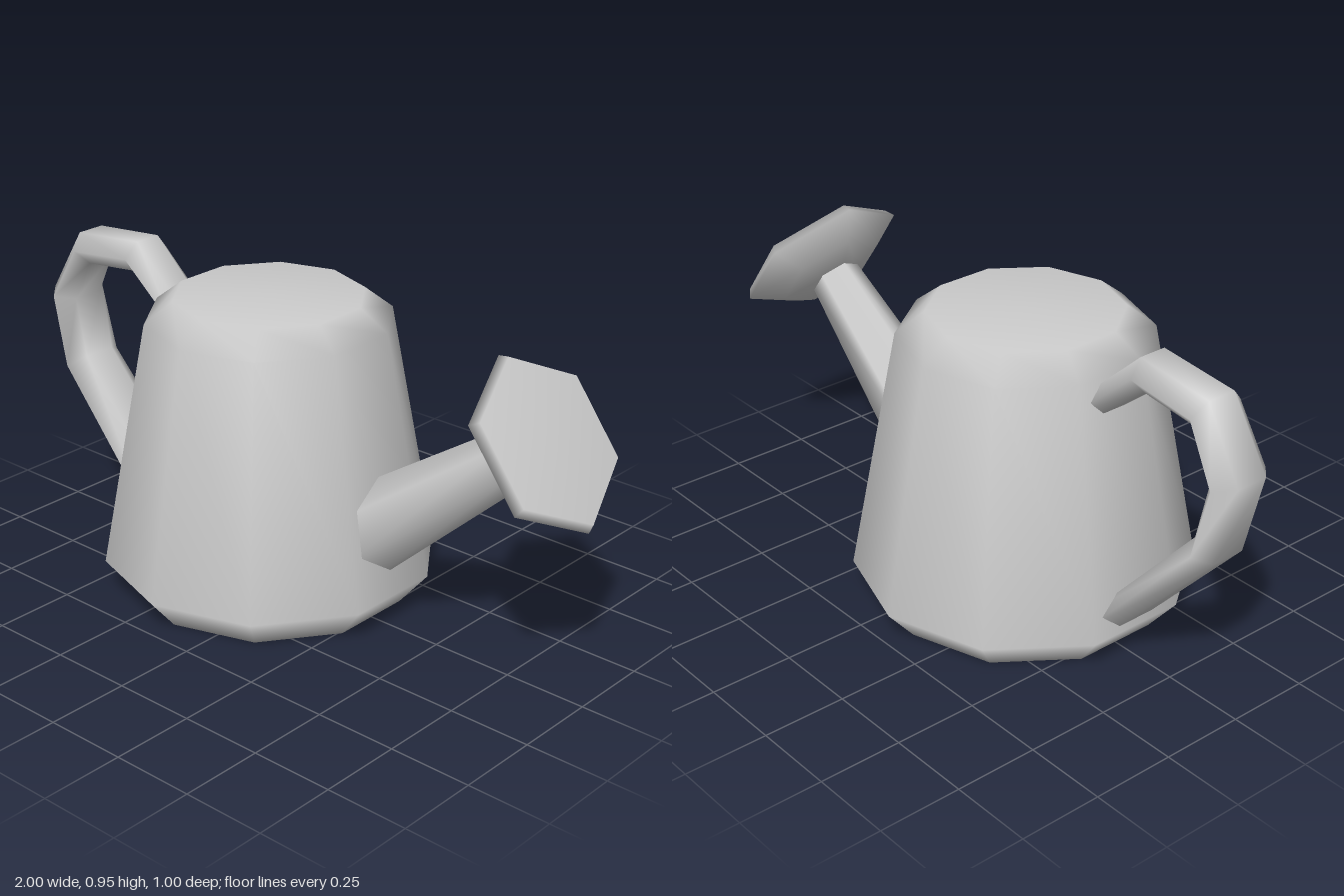
import * as THREE from 'three';

const material = new THREE.MeshStandardMaterial({ color: 0xcccccc });

function addMesh(group, name, geometry) {
  const mesh = new THREE.Mesh(geometry, material);
  mesh.name = name;
  group.add(mesh);
  return mesh;
}

// Turned part from [radius, height] pairs, listed bottom to top
function turned(profile, sides, phiStart = 0) {
  const points = profile.map(([r, y]) => new THREE.Vector2(r, y));
  return new THREE.LatheGeometry(points, sides, phiStart);
}

// Six-sided flattened tube in the XY plane; stations are [outerX, outerY, innerX, innerY, halfWidth]
function hexBand(stations) {
  const positions = [];
  const index = [];
  for (const [ox, oy, ix, iy, w] of stations) {
    const mx = (ox + ix) / 2, my = (oy + iy) / 2;
    positions.push(
      ox, oy, w / 2, mx, my, w, ix, iy, w / 2,
      ix, iy, -w / 2, mx, my, -w, ox, oy, -w / 2,
    );
  }
  for (let s = 0; s < stations.length - 1; s++) {
    for (let k = 0; k < 6; k++) {
      const a = s * 6 + k, b = s * 6 + (k + 1) % 6;
      index.push(a, a + 6, b, b, a + 6, b + 6);
    }
  }
  // End caps
  const last = (stations.length - 1) * 6;
  for (let k = 1; k < 5; k++) {
    index.push(0, k, k + 1, last, last + k + 1, last + k);
  }
  const geometry = new THREE.BufferGeometry();
  geometry.setAttribute('position', new THREE.Float32BufferAttribute(positions, 3));
  geometry.setIndex(index);
  geometry.computeVertexNormals();
  return geometry;
}

export function createModel() {
  const group = new THREE.Group();
  group.name = 'wateringCan';

  // Ten-sided tapered body with bevelled bottom and shoulder
  const body = addMesh(group, 'body', turned(
    [[0, 0], [0.415, 0], [0.5, 0.1], [0.363, 0.835], [0.28, 0.9], [0, 0.9]], 10));
  body.position.x = -0.135;

  // Tapered six-sided spout, starting inside the body
  const spout = addMesh(group, 'spout', turned(
    [[0.14, 0], [0.075, 0.81]], 6, Math.PI / 2));
  spout.position.set(0.15, 0.205, 0);
  spout.rotation.z = -Math.atan2(0.64, 0.495);

  // Sprinkler head, its origin at the centre of the widest rim
  const head = addMesh(group, 'sprinklerHead', turned(
    [[0, -0.085], [0.07, -0.085], [0.165, -0.057], [0.259, 0], [0.243, 0.028], [0, 0.028]],
    6, Math.PI / 2));
  head.position.set(0.83, 0.7225, 0);
  head.rotation.z = -Math.atan2(0.8, 0.6);

  // Looped handle, widening towards the bottom
  addMesh(group, 'handle', hexBand([
    [-0.43, 0.77, -0.43, 0.68, 0.08],
    [-0.63, 0.955, -0.65, 0.86, 0.085],
    [-0.88, 0.93, -0.84, 0.84, 0.09],
    [-1.0, 0.73, -0.905, 0.71, 0.1],
    [-0.935, 0.48, -0.865, 0.53, 0.105],
    [-0.57, 0.08, -0.5, 0.12, 0.12],
  ]));

  return group;
}
